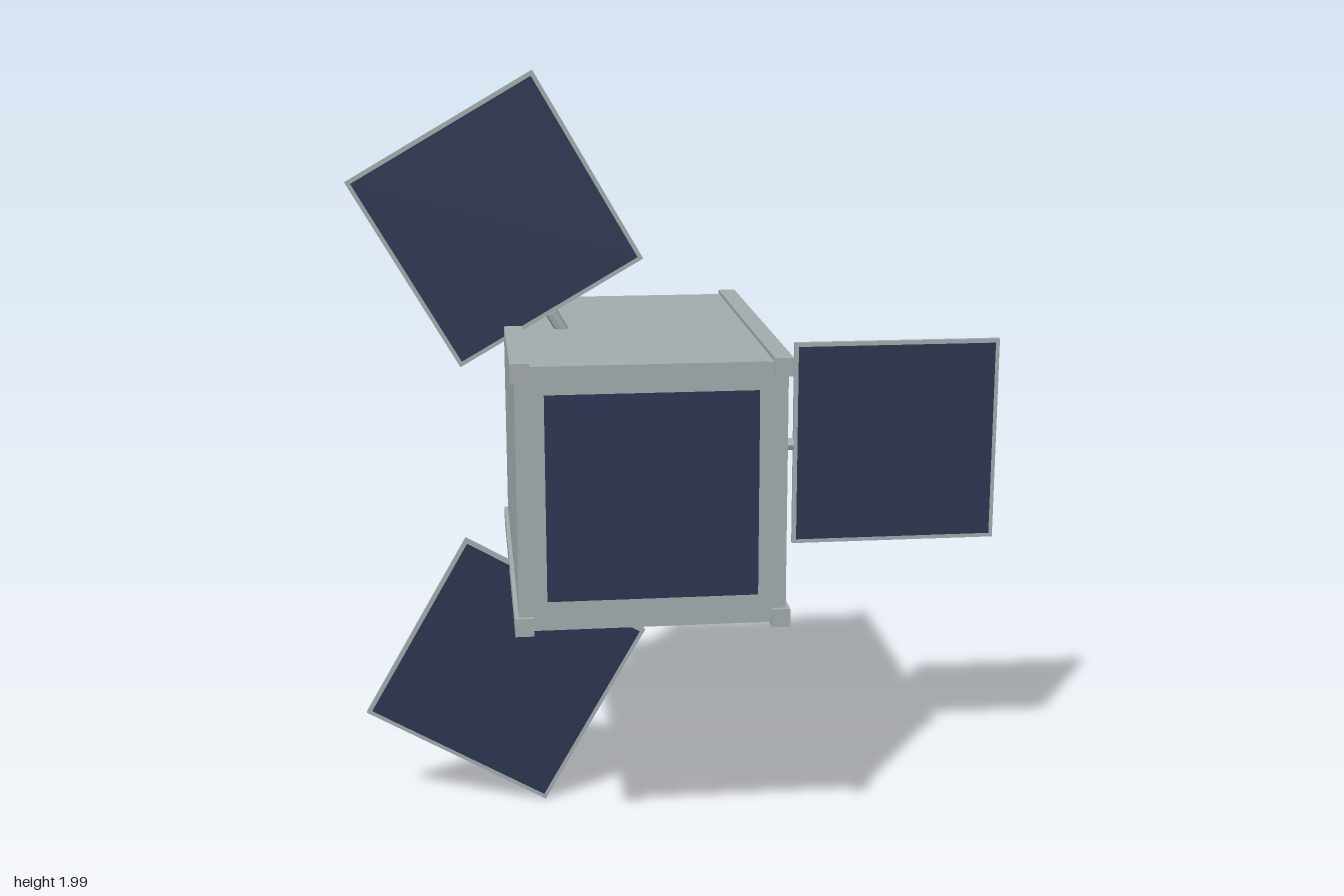
import * as THREE from 'three';

const grey = new THREE.MeshStandardMaterial({ color: 0xa3abad });
grey.name = 'satelliteGrey';
const navy = new THREE.MeshStandardMaterial({ color: 0x2d3551 });
navy.name = 'solarNavy';

function add(parent, name, geometry, material, x, y, z) {
  const mesh = new THREE.Mesh(geometry, material);
  mesh.name = name;
  mesh.position.set(x, y, z);
  parent.add(mesh);
  return mesh;
}

// Solar wing: boom, frame and a thin cell plate on the front, pointing along +x
function createWing() {
  const wing = new THREE.Group();
  wing.name = 'solarWing';
  const boom = new THREE.CylinderGeometry(0.017, 0.017, 0.13, 8).toNonIndexed();
  boom.computeVertexNormals();
  add(wing, 'boom', boom.rotateZ(Math.PI / 2), grey, 0.365, 0, 0);
  add(wing, 'panelFrame', new THREE.BoxGeometry(0.56, 0.556, 0.014), grey, 0.71, 0, 0);
  add(wing, 'panelCells', new THREE.BoxGeometry(0.538, 0.534, 0.002), navy, 0.71, 0, 0.0075);
  return wing;
}

export function createModel() {
  const model = new THREE.Group();
  model.name = 'satellite';

  // Everything is arranged around the long axis of the body
  const craft = new THREE.Group();
  craft.name = 'craft';
  craft.position.set(-0.1275, 1, 0);
  model.add(craft);

  add(craft, 'body', new THREE.BoxGeometry(0.66, 0.66, 0.985), grey, 0, 0, 0);
  add(craft, 'frontCells', new THREE.BoxGeometry(0.52, 0.516, 0.006), navy, 0, 0.002, 0.493);

  // Corner rails
  for (const sx of [-1, 1]) {
    for (const sy of [-1, 1]) {
      add(craft, 'cornerRail', new THREE.BoxGeometry(0.046, 0.046, 1.01), grey, sx * 0.317, sy * 0.317, 0);
    }
  }

  // Three wings, 120 degrees apart
  for (let i = 0; i < 3; i++) {
    const wing = createWing();
    wing.rotation.z = (i * Math.PI * 2) / 3;
    craft.add(wing);
  }
  return model;
}
